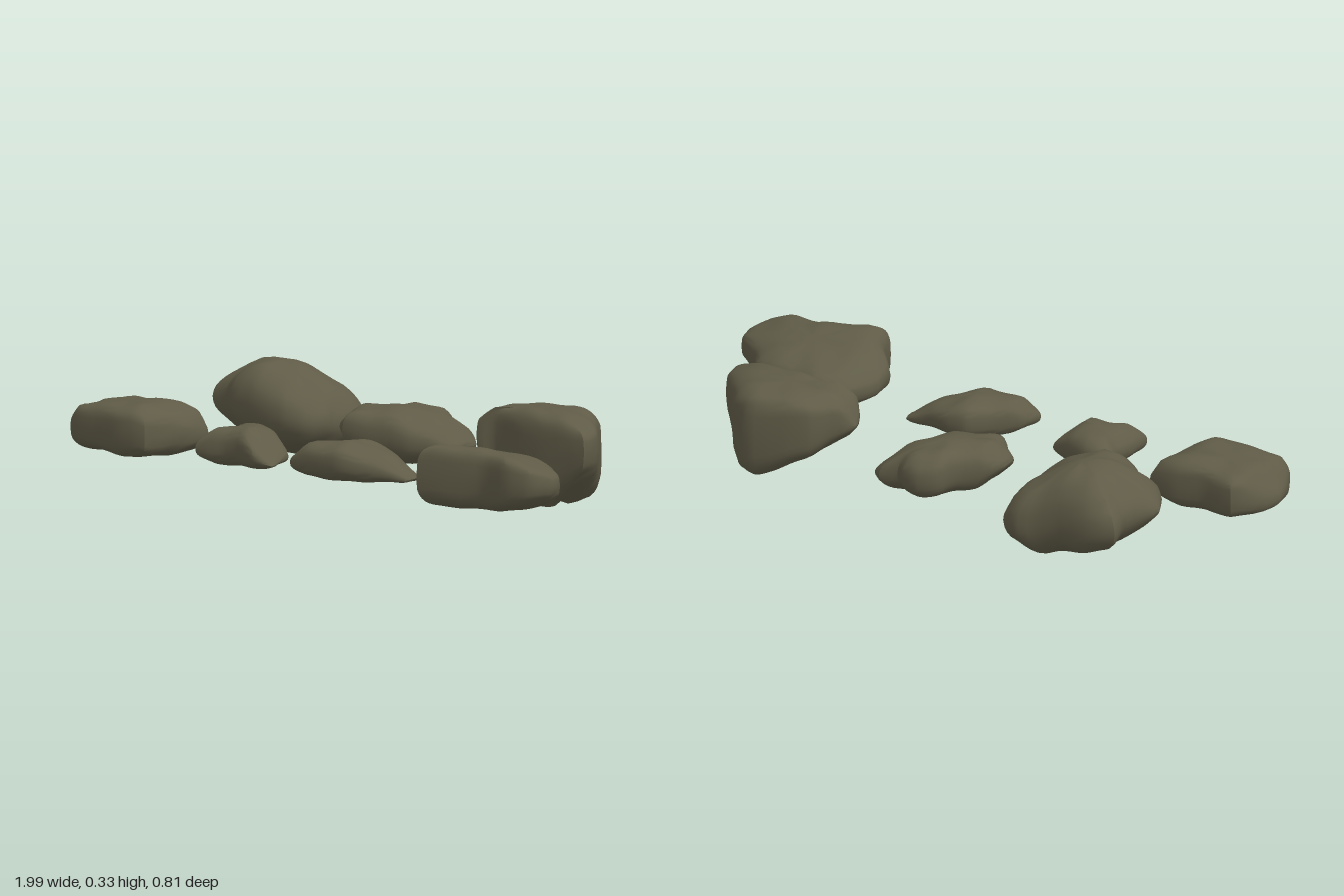
import * as THREE from 'three';
import { toCreasedNormals } from 'three/addons/utils/BufferGeometryUtils.js';

const AROUND = 48, RISE = 20;

// Piecewise linear lookup of [x, bottom, top] rows
function heightsAt(rows, x) {
  let i = 1;
  while (i < rows.length - 1 && x > rows[i][0]) i++;
  const [x0, b0, t0] = rows[i - 1], [x1, b1, t1] = rows[i];
  const k = THREE.MathUtils.clamp((x - x0) / (x1 - x0), 0, 1);
  return [b0 + (b1 - b0) * k, t0 + (t1 - t0) * k];
}

// Stone from a footprint (x, z pairs) and a height profile along x.
// boxy: how square the edges are, tilt and baseTilt: slopes of the upper and lower sides along z
function stoneGeometry({ outline, profile, boxy = 3, tilt = 0, baseTilt = 0, lumps = 0.004 }) {
  const pts = outline.map(([x, z]) => new THREE.Vector3(x, 0, z));
  const centre = pts.reduce((s, p) => s.add(p), new THREE.Vector3()).divideScalar(pts.length);
  const rim = new THREE.CatmullRomCurve3(pts, true, 'catmullrom', 0.25).getPoints(AROUND);

  const pos = [], index = [];
  for (let i = 0; i <= RISE; i++) {
    const phi = (i / RISE - 0.5) * Math.PI;
    const spread = Math.pow(Math.max(Math.cos(phi), 0), 2 / boxy);
    const lift = Math.sign(phi) * Math.pow(Math.abs(Math.sin(phi)), 2 / boxy);
    for (let j = 0; j < AROUND; j++) {
      const p = rim[j].clone().sub(centre).multiplyScalar(i % RISE ? spread : 0).add(centre);
      const [bottom, top] = heightsAt(profile, p.x);
      const upper = top + tilt * (p.z - centre.z);
      const lower = bottom + baseTilt * (p.z - centre.z);
      const bump = Math.sin(p.x * 31 + p.z * 17) * Math.sin(p.z * 37 - p.x * 13 + 1);
      const y = (lower + upper) / 2 + (upper - lower) / 2 * lift + bump * lumps;
      // weathered sides
      const wear = 1 - 0.025 * Math.abs(Math.sin(y * 45 + p.x * 19 + p.z * 23)) * Math.abs(lift);
      pos.push(centre.x + (p.x - centre.x) * wear, Math.max(y, 0), centre.z + (p.z - centre.z) * wear);
    }
  }
  for (let i = 0; i < RISE; i++) {
    for (let j = 0; j < AROUND; j++) {
      const k = (j + 1) % AROUND;
      const a = i * AROUND + j, c = i * AROUND + k;
      const b = a + AROUND, d = c + AROUND;
      if (i > 0) index.push(a, b, c);
      if (i < RISE - 1) index.push(c, b, d);
    }
  }
  const geo = new THREE.BufferGeometry();
  geo.setAttribute('position', new THREE.Float32BufferAttribute(pos, 3));
  geo.setIndex(index);
  return toCreasedNormals(geo, 0.6);
}

export function createModel() {
  const group = new THREE.Group();
  group.name = 'stones';
  const stone = new THREE.MeshStandardMaterial({ color: 0x5f5b47 });
  stone.name = 'mossy stone';
  const add = (name, spec) => {
    const mesh = new THREE.Mesh(stoneGeometry(spec), stone);
    mesh.name = name;
    group.add(mesh);
  };

  // Back row
  add('backRightStone', {
    outline: [[-0.78, -0.36], [-0.69, -0.385], [-0.58, -0.38], [-0.5, -0.39], [-0.44, -0.41], [-0.38, -0.38],
      [-0.36, -0.33], [-0.375, -0.24], [-0.365, -0.18], [-0.39, -0.11], [-0.45, -0.06], [-0.56, -0.05],
      [-0.655, -0.055], [-0.72, -0.1], [-0.78, -0.1], [-0.83, -0.185], [-0.805, -0.23], [-0.77, -0.29]],
    profile: [[-0.83, 0.15, 0.24], [-0.78, 0.1, 0.28], [-0.67, 0.06, 0.325], [-0.58, 0.045, 0.328],
      [-0.5, 0.03, 0.295], [-0.41, 0.035, 0.265], [-0.36, 0.06, 0.22]],
    boxy: 2.4, tilt: 0.08, baseTilt: 0.16, lumps: 0.005,
  });
  add('backMiddleStone', {
    outline: [[-0.2, -0.19], [-0.13, -0.25], [-0.105, -0.33], [-0.04, -0.36], [0.015, -0.35], [0.05, -0.325],
      [0.11, -0.335], [0.15, -0.3], [0.15, -0.2], [0.11, -0.14], [0.06, -0.09], [-0.025, -0.06],
      [-0.08, -0.04], [-0.15, -0.02], [-0.185, -0.055], [-0.22, -0.08], [-0.225, -0.14]],
    profile: [[-0.225, 0.15, 0.21], [-0.17, 0.1, 0.25], [0, 0.075, 0.24], [0.1, 0.08, 0.2], [0.15, 0.1, 0.16]],
    boxy: 2.9, lumps: 0.006,
  });
  add('backLeftStone', {
    outline: [[0.3, -0.18], [0.35, -0.235], [0.39, -0.3], [0.46, -0.335], [0.58, -0.365], [0.655, -0.33],
      [0.71, -0.26], [0.78, -0.185], [0.8, -0.105], [0.72, -0.095], [0.62, -0.09], [0.51, -0.1],
      [0.4, -0.12], [0.35, -0.095], [0.325, -0.12]],
    profile: [[0.3, 0.18, 0.21], [0.34, 0.14, 0.275], [0.4, 0.1, 0.3], [0.5, 0.045, 0.302], [0.58, 0.004, 0.302],
      [0.63, 0.008, 0.3], [0.7, 0.06, 0.295], [0.8, 0.13, 0.27]],
    boxy: 5,
  });

  // Front row
  add('frontRightStone', {
    outline: [[-0.995, 0.235], [-0.96, 0.135], [-0.915, 0.08], [-0.8, 0.1], [-0.69, 0.09], [-0.595, 0.11],
      [-0.61, 0.215], [-0.65, 0.34], [-0.745, 0.365], [-0.85, 0.36], [-0.95, 0.355], [-0.98, 0.3]],
    profile: [[-0.995, 0.09, 0.145], [-0.93, 0.075, 0.22], [-0.7, 0.065, 0.232], [-0.63, 0.07, 0.21],
      [-0.595, 0.09, 0.17]],
    boxy: 4.6,
  });
  add('smallRightStone', {
    outline: [[-0.44, 0.14], [-0.42, 0.125], [-0.345, 0.12], [-0.265, 0.145], [-0.19, 0.18], [-0.17, 0.245],
      [-0.16, 0.29], [-0.21, 0.32], [-0.29, 0.31], [-0.345, 0.315], [-0.425, 0.35], [-0.43, 0.285],
      [-0.415, 0.2]],
    profile: [[-0.44, 0.095, 0.165], [-0.38, 0.077, 0.2], [-0.27, 0.077, 0.2], [-0.21, 0.08, 0.16], [-0.16, 0.085, 0.11]],
    boxy: 2.9,
  });
  add('smallLeftStone', {
    outline: [[-0.055, 0.31], [-0.035, 0.245], [0.03, 0.18], [0.085, 0.11], [0.16, 0.1], [0.245, 0.12],
      [0.325, 0.135], [0.325, 0.2], [0.245, 0.26], [0.15, 0.32], [0.03, 0.33], [-0.04, 0.33]],
    profile: [[-0.06, 0.1, 0.155], [0, 0.08, 0.195], [0.13, 0.08, 0.2], [0.23, 0.08, 0.17], [0.325, 0.08, 0.115]],
    boxy: 3.1,
  });
  add('frontLeftStone', {
    outline: [[0.47, 0.2], [0.51, 0.1], [0.59, 0.04], [0.68, 0.055], [0.78, 0.05], [0.85, 0.08],
      [0.895, 0.145], [0.98, 0.2], [0.995, 0.255], [0.96, 0.315], [0.885, 0.345], [0.78, 0.335],
      [0.7, 0.36], [0.56, 0.4], [0.535, 0.335], [0.48, 0.28]],
    profile: [[0.47, 0.1, 0.185], [0.56, 0.06, 0.232], [0.75, 0.06, 0.237], [0.88, 0.07, 0.222], [0.995, 0.1, 0.2]],
    boxy: 4.4, tilt: 0.22,
  });
  return group;
}
